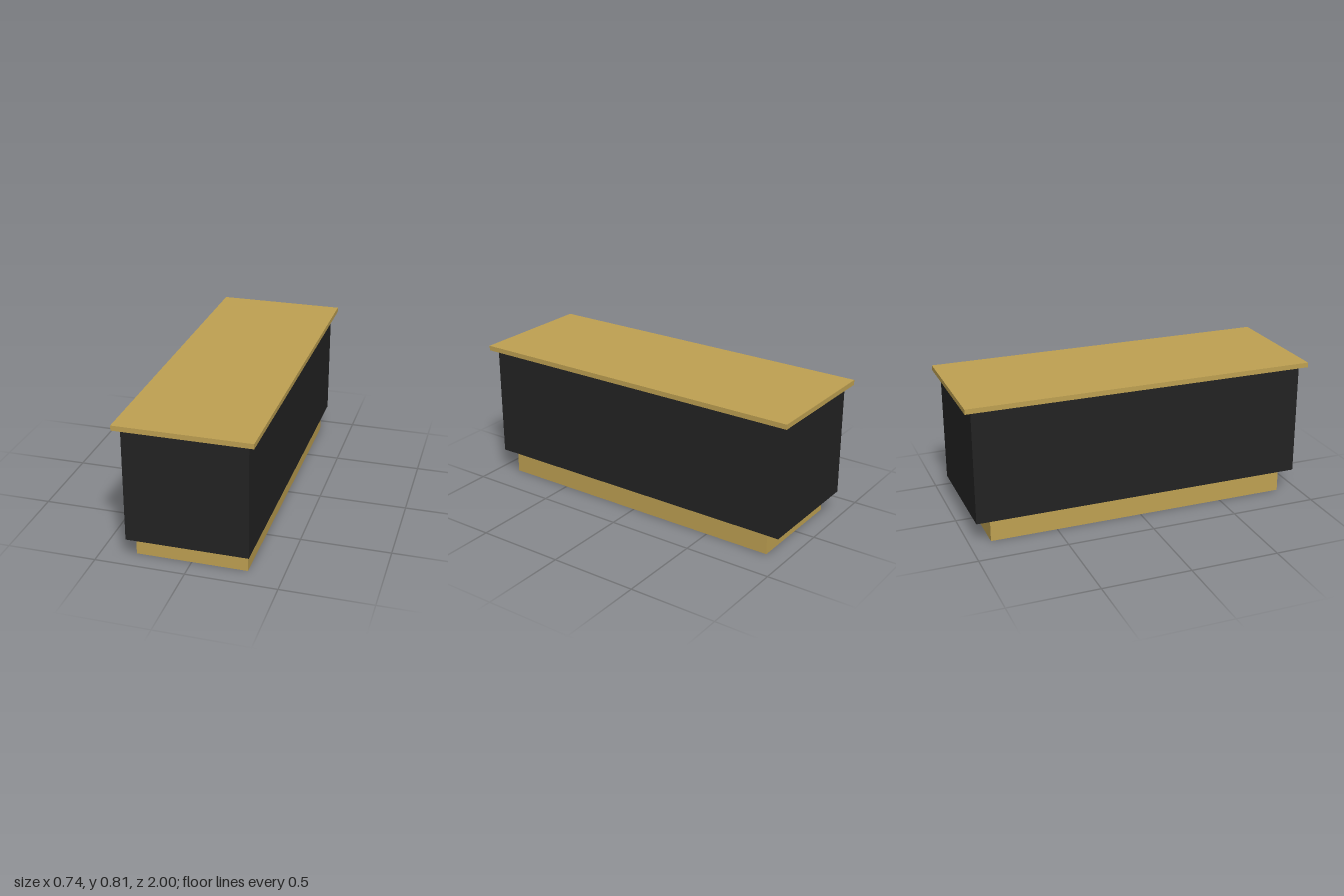
import * as THREE from 'three';

export function createModel() {
  const group = new THREE.Group();
  const gold = new THREE.MeshStandardMaterial({ color: 0xbfa152 });
  gold.name = 'gold';
  const black = new THREE.MeshStandardMaterial({ color: 0x232323 });
  black.name = 'black';

  // Box centred on x and z, spanning y0 to y1
  function slab(name, width, depth, y0, y1, material) {
    const mesh = new THREE.Mesh(new THREE.BoxGeometry(width, y1 - y0, depth), material);
    mesh.position.y = (y0 + y1) / 2;
    mesh.name = name;
    group.add(mesh);
  }

  // Recessed plinth
  slab('plinth', 0.616, 1.76, 0, 0.13, gold);
  // Black side panels with a gold underside (order: +x, -x, +y, -y, +z, -z)
  slab('body', 0.67, 1.924, 0.13, 0.778, [black, black, gold, gold, black, black]);
  // Overhanging top
  slab('countertop', 0.74, 2, 0.778, 0.806, gold);

  return group;
}
